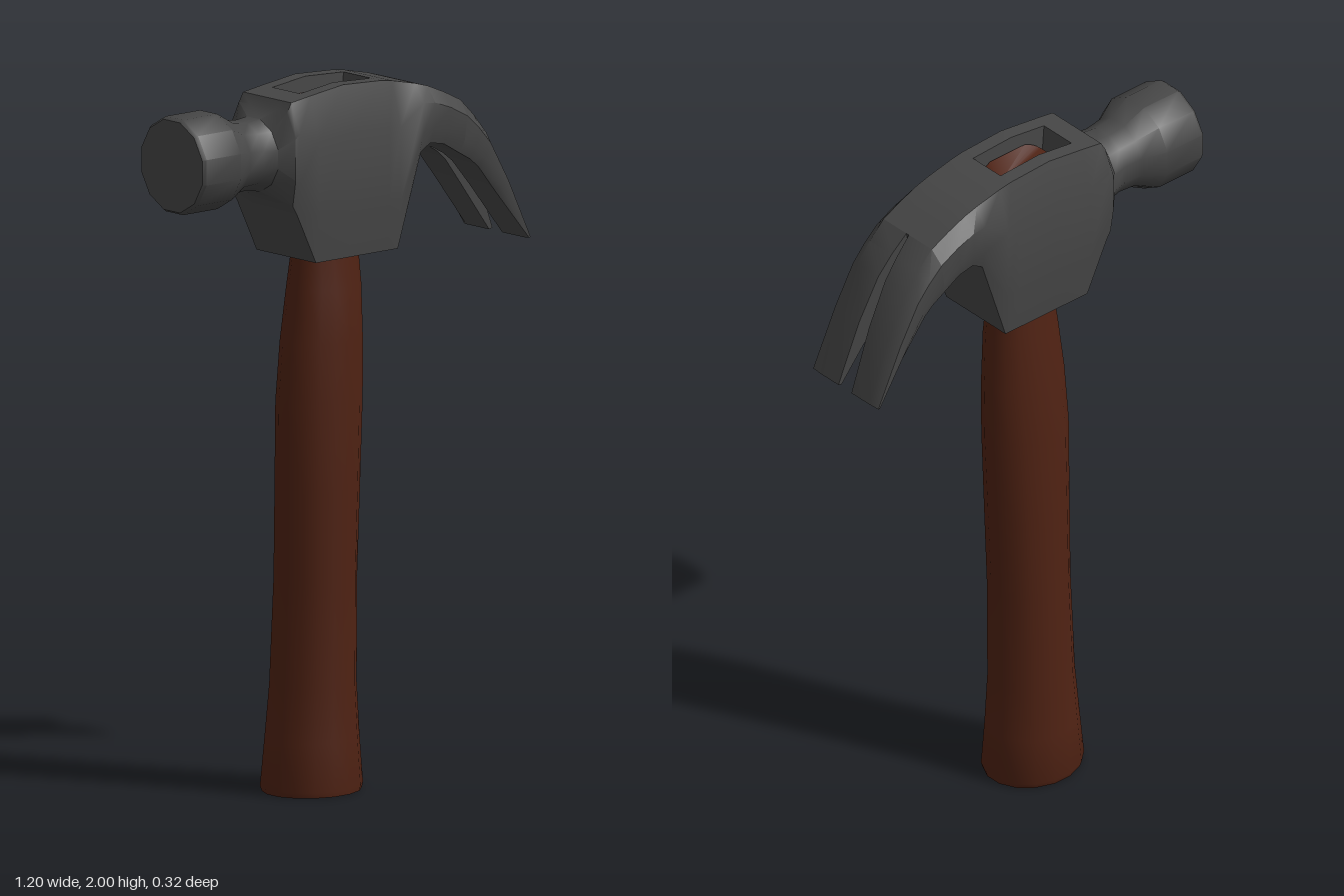
import * as THREE from 'three';
import { toCreasedNormals } from 'three/addons/utils/BufferGeometryUtils.js';

const steel = new THREE.MeshStandardMaterial({ color: 0x464646 });
const wood = new THREE.MeshStandardMaterial({ color: 0x4f2213 });
const HEAD_Z = 0.025;

// Skins a list of rings (counter-clockwise seen from the end of the path).
function loft(rings, { capStart = true, capEnd = true, skip = () => false } = {}) {
  const pos = [];
  const tri = (a, b, c) => pos.push(...a, ...b, ...c);
  const n = rings[0].length;
  for (let i = 0; i < rings.length - 1; i++) {
    for (let j = 0; j < n; j++) {
      if (skip(i, j)) continue;
      const k = (j + 1) % n, r = rings[i], s = rings[i + 1];
      tri(r[j], r[k], s[j]);
      tri(r[k], s[k], s[j]);
    }
  }
  const first = rings[0], last = rings[rings.length - 1];
  for (let j = 1; j < n - 1; j++) {
    if (capStart) tri(first[0], first[j + 1], first[j]);
    if (capEnd) tri(last[0], last[j], last[j + 1]);
  }
  const geo = new THREE.BufferGeometry();
  geo.setAttribute('position', new THREE.Float32BufferAttribute(pos, 3));
  return toCreasedNormals(geo, 0.7);
}

function mesh(name, geometry, material) {
  const m = new THREE.Mesh(geometry, material);
  m.name = name;
  return m;
}

// Half section from top centre round the side to bottom centre.
function halfSection([tx, ty, bx, by], inner, innerLow, sign = 1) {
  const profile = [[inner, 0], [0.1, 0], [0.135, 0.27], [0.135, 0.72], [0.123, 1], [innerLow, 1]];
  return profile.map(([w, f]) => [tx + (bx - tx) * f, ty + (by - ty) * f, HEAD_Z + sign * w]);
}

function bodyRing(s, inner = 0.057) {
  return [...halfSection(s, inner, inner), ...halfSection(s, inner, inner, -1).reverse()];
}

function roundRing([x, r, cy]) {
  return Array.from({ length: 12 }, (_, j) => {
    const a = ((15 + 30 * j) * Math.PI) / 180;
    return [x, cy + r * 1.03 * Math.cos(a), HEAD_Z + r * 1.03 * Math.sin(a)];
  });
}

function makeHead() {
  const head = new THREE.Group();
  head.name = 'head';

  // Striking face, neck, cheeks and the root of the claw in one skin
  const poll = [
    [-0.6, 0.127, 1.83], [-0.59, 0.134, 1.83], [-0.465, 0.134, 1.83],
    [-0.4, 0.1, 1.828], [-0.345, 0.095, 1.826], [-0.3, 0.102, 1.823],
  ].map(roundRing);
  const body = [
    [-0.265, 1.95, -0.265, 1.69], [-0.25, 1.975, -0.25, 1.665],
    [-0.18, 1.985, -0.18, 1.52], [-0.06, 2, -0.06, 1.52], [0.08, 1.993, 0.08, 1.52],
    [0.12, 1.987, 0.12, 1.52], [0.205, 1.968, 0.205, 1.78],
    [0.25, 1.955, 0.24, 1.8], [0.31, 1.93, 0.29, 1.79],
  ].map((s) => bodyRing(s));
  const clawRoot = [0.37, 1.9, 0.35, 1.755];
  const rings = [...poll, ...body, bodyRing(clawRoot, 0.005)];
  const eye = poll.length + 2;
  const skip = (i, j) => j === 11 && (i === eye || i === eye + 1);
  head.add(mesh('headBody', loft(rings, { skip }), steel));

  // Tapered eye that receives the handle
  const rim = [[-0.18, 1.985], [-0.06, 2], [0.08, 1.993]];
  const eyeRing = (dx, dz, y) => [
    ...rim.map(([x, ry]) => [x - Math.sign(x + 0.05) * dx, y ?? ry, HEAD_Z + dz]),
    ...rim.map(([x, ry]) => [x - Math.sign(x + 0.05) * dx, y ?? ry, HEAD_Z - dz]).reverse(),
  ];
  const eyeGeo = loft([eyeRing(0, 0.057), eyeRing(0.012, 0.052, 1.89)], { capStart: false });
  head.add(mesh('handleEye', eyeGeo, steel));

  // Two claw prongs on either side of the widening slit
  const claw = [
    [clawRoot, 0.005], [[0.42, 1.85, 0.385, 1.735], 0.01], [[0.465, 1.795, 0.415, 1.71], 0.014],
    [[0.53, 1.67, 0.475, 1.635], 0.02], [[0.6, 1.49, 0.588, 1.487], 0.027],
  ];
  for (const side of [1, -1]) {
    const prong = claw.map(([s, gap]) => {
      const ring = halfSection(s, gap, gap, side);
      return side > 0 ? ring : ring.reverse();
    });
    head.add(mesh(side > 0 ? 'frontProng' : 'backProng', loft(prong), steel));
  }
  return head;
}

function makeHandle() {
  // y, x min, x max, z min, z max, corner power (1 = ellipse, smaller = squarer)
  const stations = [
    [0, -0.185, 0.105, -0.155, 0.1, 1], [0.015, -0.19, 0.11, -0.16, 0.102, 1],
    [0.15, -0.177, 0.097, -0.15, 0.096, 1], [0.3, -0.165, 0.085, -0.138, 0.092, 1],
    [0.6, -0.16, 0.08, -0.122, 0.096, 1], [0.85, -0.167, 0.085, -0.11, 0.102, 1],
    [1.1, -0.174, 0.091, -0.098, 0.106, 1], [1.27, -0.168, 0.089, -0.082, 0.104, 1],
    [1.42, -0.152, 0.079, -0.064, 0.099, 0.95], [1.52, -0.138, 0.072, -0.05, 0.084, 0.9],
    [1.8, -0.145, 0.065, -0.025, 0.078, 0.4], [1.972, -0.148, 0.063, -0.022, 0.077, 0.3],
  ];
  const bend = (v, p) => Math.sign(v) * Math.abs(v) ** p;
  const rings = stations.map(([y, x0, x1, z0, z1, p], i) =>
    Array.from({ length: 16 }, (_, j) => {
      const a = ((j + 0.5) / 16) * Math.PI * 2;
      const u = bend(Math.cos(a), p), v = bend(Math.sin(a), p);
      // The exposed end grain is crowned along x
      const crown = i === stations.length - 1 ? 0.035 * u * u : 0;
      return [(x0 + x1) / 2 + (u * (x1 - x0)) / 2, y - crown, (z0 + z1) / 2 - (v * (z1 - z0)) / 2];
    }));
  return mesh('handle', loft(rings), wood);
}

export function createModel() {
  const group = new THREE.Group();
  group.name = 'clawHammer';
  group.add(makeHead(), makeHandle());
  return group;
}
